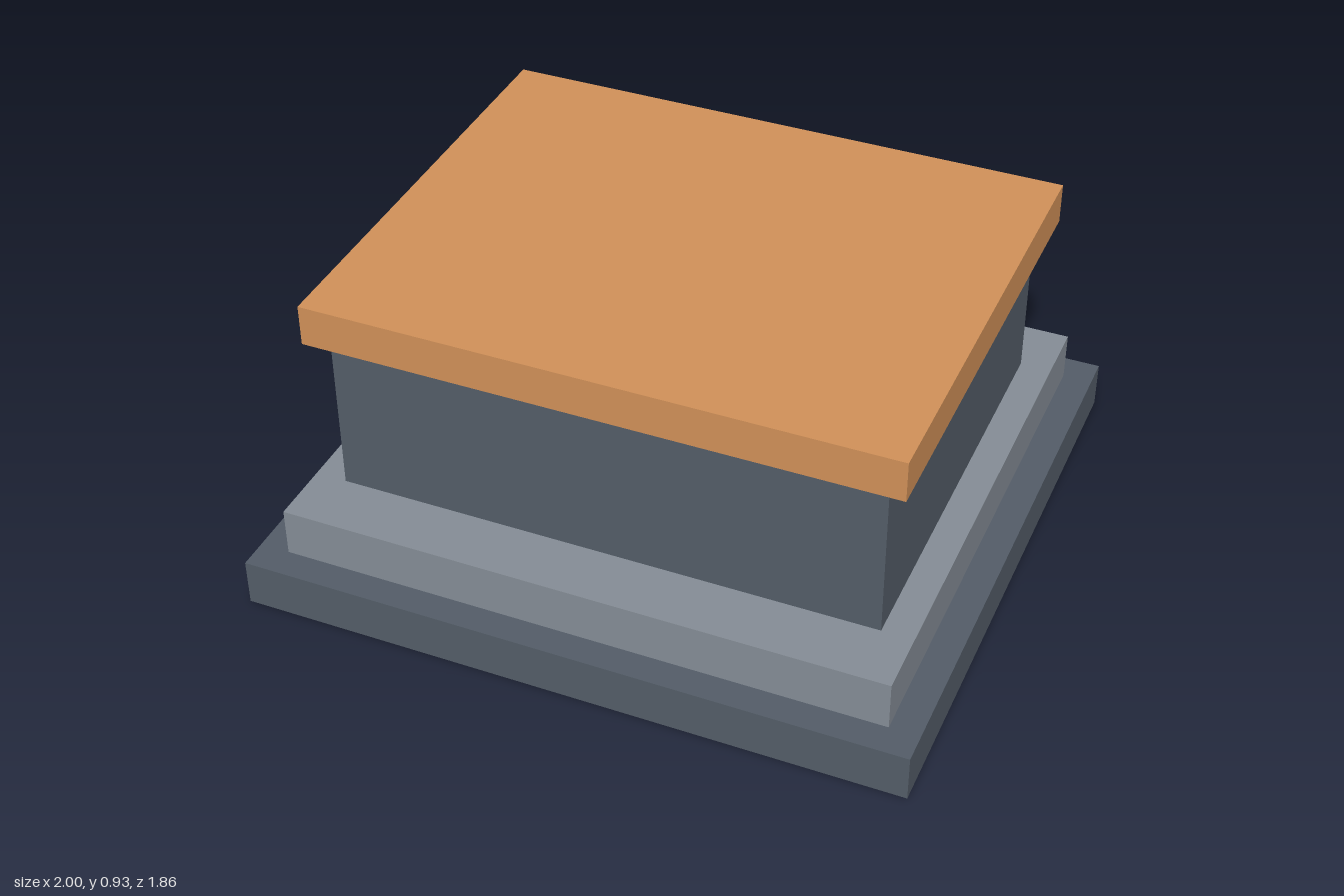
import * as THREE from 'three';

const material = (color) => new THREE.MeshStandardMaterial({ color });

// Box given by its width, depth and its bottom and top heights
function slab(name, mat, width, depth, bottom, top, x = 0, z = 0) {
  const mesh = new THREE.Mesh(new THREE.BoxGeometry(width, top - bottom, depth), mat);
  mesh.position.set(x, (bottom + top) / 2, z);
  mesh.name = name;
  return mesh;
}

export function createModel() {
  const model = new THREE.Group();
  model.name = 'steppedBlock';

  const slate = material(0x535c67);
  const stone = material(0x848c95);
  const orange = material(0xd09058);
  const panelGrey = material(0xa5a8ac);
  const teal = material(0x66ccd4);

  // Stepped plinth, body and overhanging top
  model.add(
    slab('base', slate, 2, 1.86, 0, 0.145),
    slab('step', stone, 1.82, 1.68, 0.145, 0.295),
    slab('body', slate, 1.63, 1.3, 0.295, 0.8),
    slab('topSlab', orange, 1.75, 1.4, 0.8, 0.925)
  );

  // Control panel on the back with a row of four buttons
  const panel = new THREE.Group();
  panel.name = 'controlPanel';
  panel.add(slab('panelPlate', panelGrey, 1.23, 0.05, 0.54, 0.74, 0, -0.675));
  [-0.414, -0.143, 0.143, 0.414].forEach((x, i) => {
    panel.add(slab(`button${i + 1}`, teal, 0.05, 0.03, 0.62, 0.676, x, -0.715));
  });
  model.add(panel);

  return model;
}
